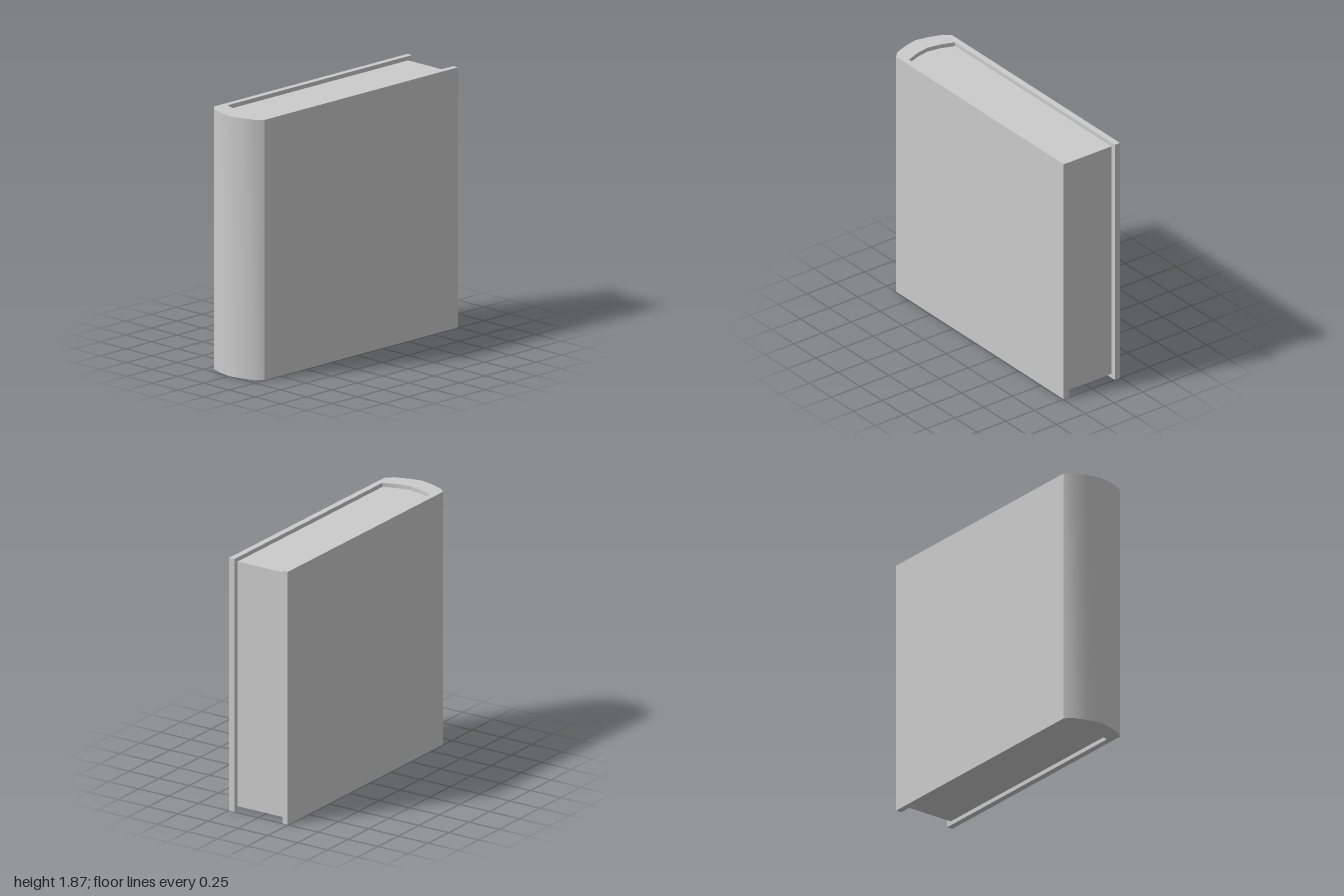
import * as THREE from 'three';
import { toCreasedNormals } from 'three/addons/utils/BufferGeometryUtils.js';

const HEIGHT = 1.865;
const RECESS = 0.03; // pages sit back from the cover at top and bottom

// Upright prism from a plan outline of [x, z] points
function prism(name, outline, bottom, top) {
  const shape = new THREE.Shape(outline.map(([x, z]) => new THREE.Vector2(x, -z)));
  const geometry = new THREE.ExtrudeGeometry(shape, { depth: top - bottom, bevelEnabled: false });
  geometry.rotateX(-Math.PI / 2).translate(0, bottom, 0);
  const material = new THREE.MeshStandardMaterial({ color: 0xcccccc });
  const mesh = new THREE.Mesh(toCreasedNormals(geometry, THREE.MathUtils.degToRad(35)), material);
  mesh.name = name;
  return mesh;
}

// Completes half a symmetric outline (right side, ending on the centre line)
function mirrored(half) {
  return [...half, ...half.slice(0, -1).reverse().map(([x, z]) => [-x, z])];
}

export function createModel() {
  const book = new THREE.Group();
  book.name = 'book';

  // Rounded spine joined to the two boards
  const outer = mirrored([[0.245, -1], [0.245, 0.9], [0.2, 0.943], [0.1, 0.98], [0, 1]]);
  const curve = [[0.2, 0.81], [0.1, 0.847], [0, 0.865]];
  const inner = mirrored([[0.2, -1], ...curve]);
  book.add(prism('cover', [...outer, ...inner.reverse()], 0, HEIGHT));

  // Page block, recessed from the cover edges
  book.add(prism('pages', mirrored([[0.2, -0.96], ...curve]), RECESS, HEIGHT - RECESS));

  return book;
}
